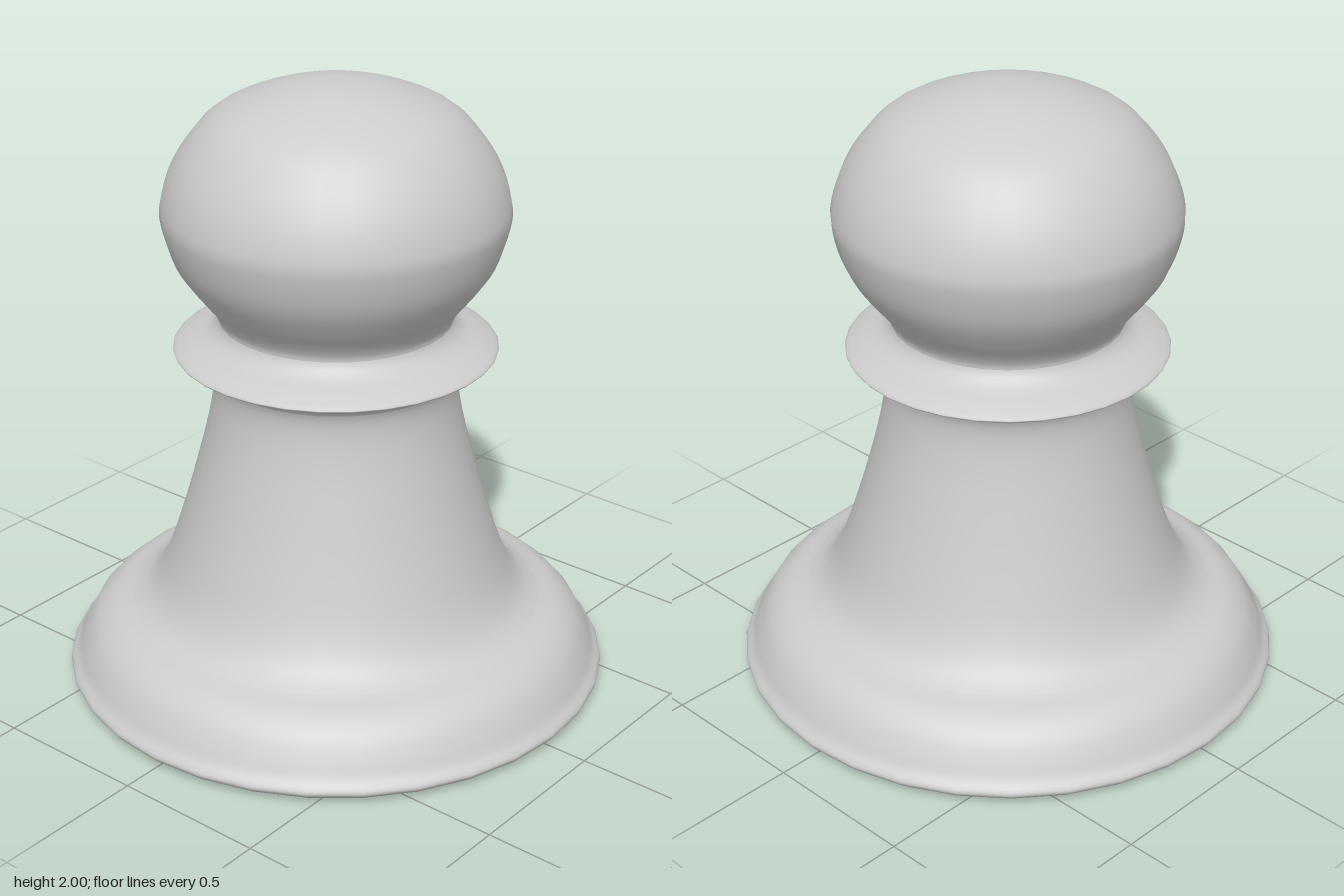
import * as THREE from 'three';

// Silhouette sections as [radius, height]; each starts where the previous one ends
const SECTIONS = {
  base: [[0.8, 0.005], [0.86, 0.02], [0.88, 0.045], [0.855, 0.08], [0.83, 0.13], [0.795, 0.185], [0.74, 0.23], [0.665, 0.26]],
  body: [[0.61, 0.3], [0.56, 0.38], [0.5, 0.55], [0.44, 0.76], [0.402, 0.92], [0.39, 1.02], [0.4, 1.075]],
  collar: [[0.44, 1.115], [0.503, 1.135], [0.513, 1.145], [0.47, 1.17], [0.4, 1.2], [0.37, 1.24]],
  head: [[0.385, 1.28], [0.44, 1.35], [0.505, 1.45], [0.54, 1.57], [0.54, 1.62], [0.51, 1.72], [0.45, 1.82],
    [0.37, 1.9], [0.22, 1.965], [0.1, 1.993], [0, 2]],
};
const SIDES = 32;
const STEPS = 4; // curve samples between two profile points

export function createModel() {
  const group = new THREE.Group();
  const stone = new THREE.MeshStandardMaterial({ color: 0xcccccc });
  stone.name = 'light grey';

  // One smooth curve through the whole silhouette
  const points = Object.values(SECTIONS).flat().map(([r, y]) => new THREE.Vector3(r, y, 0));
  const curve = new THREE.CatmullRomCurve3(points, false, 'centripetal');
  const profile = curve.getPoints((points.length - 1) * STEPS)
    .map((p) => new THREE.Vector2(Math.max(0, p.x), Math.max(0, p.y)));

  // Turn each section of the curve into its own part
  let start = 0;
  let count = 0;
  for (const [name, section] of Object.entries(SECTIONS)) {
    count += section.length;
    const end = (count - 1) * STEPS;
    const part = new THREE.Mesh(new THREE.LatheGeometry(profile.slice(start, end + 1), SIDES), stone);
    part.name = name;
    group.add(part);
    start = end;
  }

  // Flat underside
  const underside = new THREE.Mesh(new THREE.CircleGeometry(profile[0].x, SIDES), stone);
  underside.name = 'underside';
  underside.rotation.set(Math.PI / 2, 0, 0);
  underside.position.y = profile[0].y;
  group.add(underside);

  group.position.y = -profile[0].y;
  const model = new THREE.Group();
  model.name = 'pawn';
  model.add(group);
  group.name = 'turnedPiece';
  return model;
}
